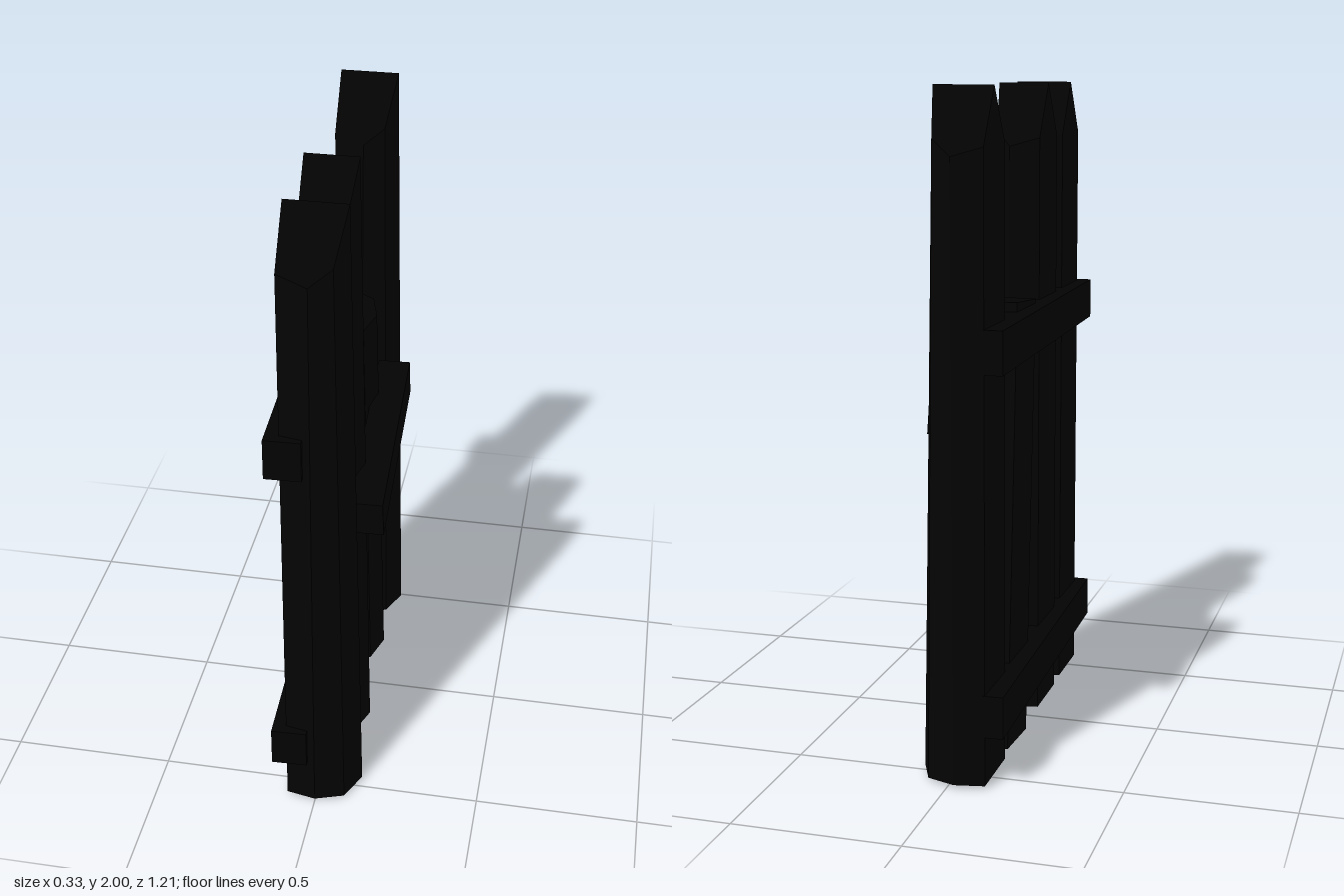
import * as THREE from 'three';

const material = new THREE.MeshStandardMaterial({ color: 0x030303, flatShading: true });

// Half-log outline (x, z): flat back, faceted round front
const half = [[-0.09, 0], [-0.09, 0.106], [0, 0.123], [0.087, 0.093], [0.128, 0]];
const outline = [...half, ...half.slice(1, 4).reverse().map(([x, z]) => [x, -z])];

// Upright log with its front tapering upward; roof is the drop from ridge to shoulder
function logGeometry(height, roof, front, taper) {
  const n = outline.length;
  const bottom = [], top = [], positions = [];
  for (const [x, z] of outline) {
    const fx = x > 0 ? x * front / 0.128 : x;
    const drop = roof * Math.abs(z) / 0.123;
    const shrink = x > 0 ? (taper * (1 - drop / height)) * x / 0.128 : 0;
    bottom.push([fx, 0, z]);
    top.push([fx - shrink, height - drop, z]);
  }
  const tri = (a, b, c) => positions.push(...a, ...b, ...c);
  for (let i = 0; i < n; i++) {
    const j = (i + 1) % n;
    tri(bottom[i], bottom[j], top[j]);
    tri(bottom[i], top[j], top[i]);
    if (i > 0 && j > 0) {
      tri(top[0], top[i], top[j]);
      tri(bottom[0], bottom[j], bottom[i]);
    }
  }
  const geometry = new THREE.BufferGeometry();
  geometry.setAttribute('position', new THREE.Float32BufferAttribute(positions, 3));
  geometry.computeVertexNormals();
  return geometry;
}

export function createModel() {
  const group = new THREE.Group();
  const add = (name, geometry, position, rotation = [0, 0, 0]) => {
    const mesh = new THREE.Mesh(geometry, material);
    mesh.name = name;
    mesh.position.set(...position);
    mesh.rotation.set(...rotation);
    group.add(mesh);
  };

  // Three pointed posts: centre x, centre z, front depth
  [[0.0, 0.467, 0.13], [-0.005, 0.163, 0.108], [-0.02, -0.482, 0.127]].forEach(([x, z, front], i) =>
    add(`post${i + 1}`, logGeometry(1.99, 0.19, front, 0.04), [x, 0.01, z]));

  // Broken, leaning post with a flat top
  add('brokenPost', logGeometry(1.355, 0, 0.1, 0.02), [-0.013, 0.01, -0.22], [0.075, 0, 0]);

  // Two horizontal rails behind the posts
  for (const [name, y] of [['lowerRail', 0.222], ['upperRail', 1.278]])
    add(name, new THREE.BoxGeometry(0.108, 0.126, 1.195), [-0.093, y, 0.007], [0, 0.029, 0]);

  // Slanted board nailed across the front
  add('slantedBoard', new THREE.BoxGeometry(0.1, 0.128, 0.635), [0.105, 0.975, 0.006], [0.214, 0.025, 0]);

  return group;
}
